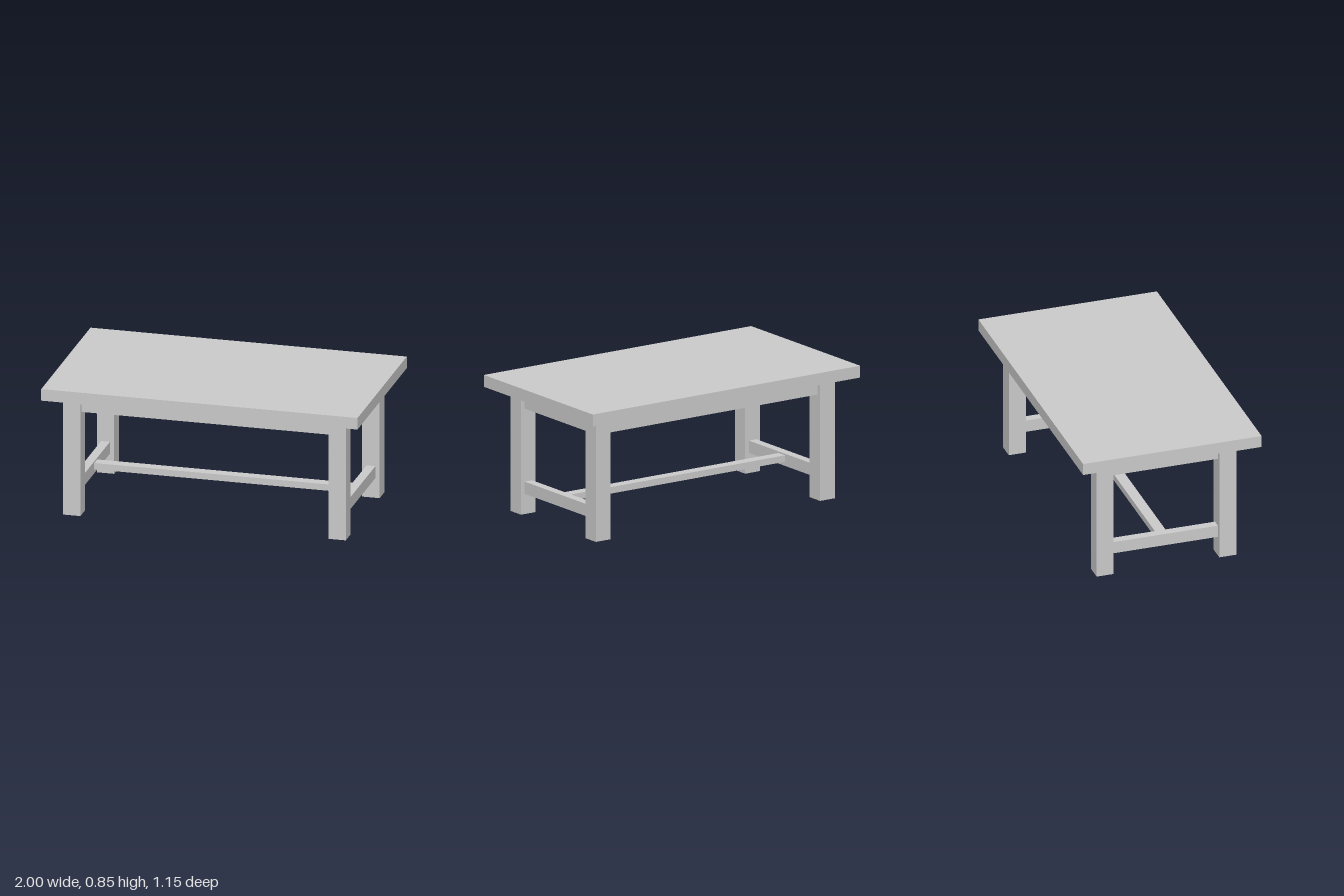
import * as THREE from 'three';

export function createModel() {
  const table = new THREE.Group();
  table.name = 'table';
  const material = new THREE.MeshStandardMaterial({ color: 0xcccccc, flatShading: true });

  // Box given by its size and centre
  function beam(name, [w, h, d], [x, y, z]) {
    const mesh = new THREE.Mesh(new THREE.BoxGeometry(w, h, d), material);
    mesh.name = name;
    mesh.position.set(x, y, z);
    table.add(mesh);
  }

  const underside = 0.773;  // height of the legs
  const leg = 0.11;         // leg thickness
  const board = 0.056;      // apron and stretcher thickness
  const legX = 0.839, legZ = 0.395;
  const midX = -0.003, midZ = -0.003; // centre of the base

  // Slab top
  beam('tabletop', [2, 0.075, 1.15], [0, underside + 0.0375, 0]);

  for (const side of [-1, 1]) {
    const x = midX + side * legX;
    const sideName = side > 0 ? 'left' : 'right';

    // Square legs
    for (const end of [-1, 1]) {
      beam(`${sideName}${end > 0 ? 'Front' : 'Back'}Leg`,
        [leg, underside, leg], [x, underside / 2, midZ + end * legZ]);
    }

    // Short apron and low stretcher between the legs of each end
    const span = 2 * legZ - leg;
    beam(`${sideName}Apron`, [board, 0.107, span], [x, 0.7195, midZ]);
    beam(`${sideName}Stretcher`, [board, 0.077, span], [x, 0.1665, midZ]);

    // Long aprons, front and back
    beam(side > 0 ? 'frontApron' : 'backApron',
      [2 * legX - leg, 0.107, board], [midX, 0.7195, midZ + side * legZ]);
  }

  // Long flat stretcher joining the two ends
  beam('centreStretcher', [2 * legX - board, 0.041, 0.068], [midX, 0.1745, -0.01]);

  return table;
}
